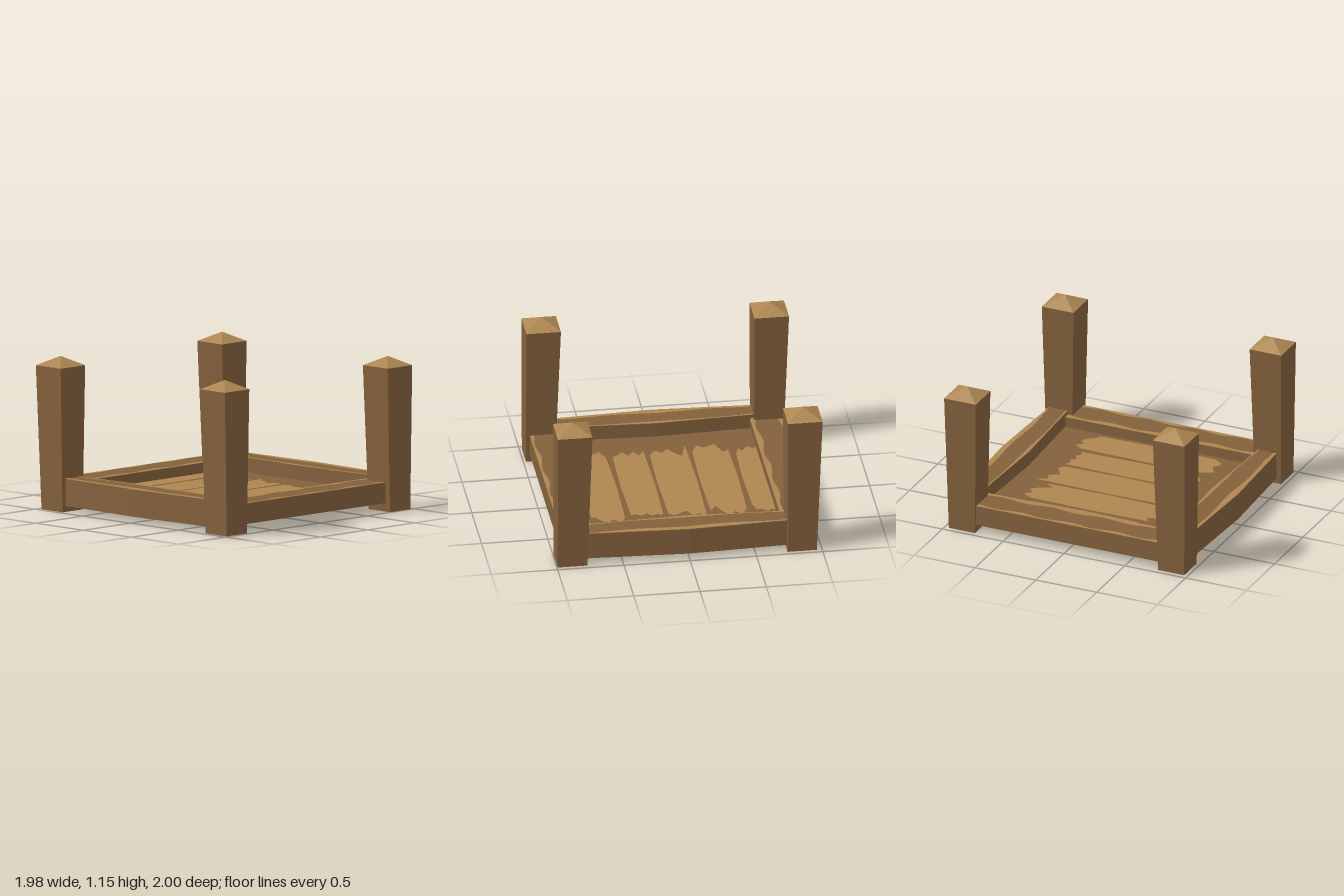
import * as THREE from 'three';

const brown = new THREE.MeshStandardMaterial({ color: 0x83603c });
brown.name = 'brown wood';
const tan = new THREE.MeshStandardMaterial({ color: 0xad8650 });
tan.name = 'worn tan wood';

// Slab with an outline in x and z, reaching down from its top height
function slab(name, outline, top, depth, material) {
  const shape = new THREE.Shape(outline.map(([x, z]) => new THREE.Vector2(x, z)));
  const geometry = new THREE.ExtrudeGeometry(shape, { depth, bevelEnabled: false });
  geometry.rotateX(Math.PI / 2).translate(0, top, 0);
  const mesh = new THREE.Mesh(geometry, material);
  mesh.name = name;
  return mesh;
}

// Band between two edge functions of t, sampled along a length
function band(from, to, steps, edgeA, edgeB, alongX) {
  const a = [], b = [];
  for (let i = 0; i <= steps; i++) {
    const t = from + (to - from) * i / steps;
    a.push([t, edgeA(t)]);
    b.unshift([t, edgeB(t)]);
  }
  return [...a, ...b].map(([t, e]) => (alongX ? [t, e] : [e, t]));
}

// Tapered post, wider at the top, with a pyramid cap
function post(name, bottom, top) {
  const group = new THREE.Group();
  group.name = name;
  const height = 1.085;
  const geometry = new THREE.BoxGeometry(1, 1, 1);
  const p = geometry.attributes.position;
  for (let i = 0; i < p.count; i++) {
    const high = p.getY(i) > 0;
    const [x0, x1, z0, z1] = high ? top : bottom;
    p.setXYZ(i, p.getX(i) < 0 ? x0 : x1, high ? height : 0, p.getZ(i) < 0 ? z0 : z1);
  }
  geometry.computeVertexNormals();
  const shaft = new THREE.Mesh(geometry, [brown, brown, brown, tan, brown, brown]);
  shaft.name = 'postShaft';

  const [x0, x1, z0, z1] = top;
  const cone = new THREE.ConeGeometry(Math.SQRT1_2, 0.07, 4, 1, true).rotateY(Math.PI / 4).toNonIndexed();
  cone.scale(x1 - x0, 1, z1 - z0);
  cone.translate((x0 + x1) / 2, height + 0.035, (z0 + z1) / 2);
  cone.computeVertexNormals();
  const cap = new THREE.Mesh(cone, tan);
  cap.name = 'postCap';
  group.add(shaft, cap);
  return group;
}

export function createModel() {
  const model = new THREE.Group();
  model.name = 'postedPlatform';

  // Corner posts: bottom and top rectangles as x0, x1, z0, z1
  model.add(
    post('frontRightPost', [-0.97, -0.755, 0.76, 0.98], [-0.99, -0.73, 0.72, 0.98]),
    post('frontLeftPost', [0.75, 0.965, 0.77, 0.995], [0.725, 0.985, 0.735, 0.995]),
    post('backRightPost', [-0.97, -0.755, -0.96, -0.74], [-0.99, -0.73, -1, -0.74]),
    post('backLeftPost', [0.75, 0.965, -0.96, -0.74], [0.725, 0.985, -1, -0.74]),
  );

  // Floor panel
  model.add(slab('floorPanel', [[-0.78, -0.72], [0.78, -0.72], [0.78, 0.72], [-0.78, 0.72]], 0.14, 0.085, brown));

  // Worn plank faces: z range, then ragged right and left end positions
  const planks = [
    [-0.71, -0.55, [-0.48, -0.45, -0.49, -0.47, -0.43, -0.47, -0.38], [0.55, 0.52, 0.56, 0.54, 0.51, 0.53, 0.45]],
    [-0.5, -0.23, [-0.46, -0.43, -0.56, -0.54, -0.52, -0.56, -0.46], [0.5, 0.58, 0.53, 0.57, 0.52, 0.42, 0.5]],
    [-0.19, 0.09, [-0.57, -0.41, -0.46, -0.53, -0.48, -0.52, -0.46], [0.6, 0.52, 0.55, 0.47, 0.5, 0.53, 0.5]],
    [0.13, 0.37, [-0.53, -0.46, -0.53, -0.47, -0.53, -0.49, -0.46], [0.51, 0.49, 0.51, 0.47, 0.5, 0.47, 0.49]],
    [0.42, 0.67, [-0.46, -0.56, -0.53, -0.51, -0.55, -0.54, -0.47], [0.52, 0.58, 0.53, 0.57, 0.55, 0.49, 0.47]],
  ];
  for (const [z0, z1, right, left] of planks) {
    const at = (x, i) => [x, z0 + (z1 - z0) * i / 6];
    const outline = [...right.map(at), [0, z1 + 0.01], ...left.map(at).reverse(), [0, z0 - 0.01]];
    model.add(slab('wornPlankTop', outline, 0.143, 0.004, tan));
    model.add(slab('wornPlankUnderside', outline, 0.056, 0.004, tan));
  }

  // Side rails, bulging at the middle, with worn top edges
  for (const s of [-1, 1]) {
    const name = s < 0 ? 'rightRail' : 'leftRail';
    const bulge = (z) => 0.034 * (1 - Math.abs(z) / 0.76);
    const outer = (z) => s * (0.936 + bulge(z));
    const inner = (z) => s * (0.785 - bulge(z));
    const outerWear = (z) => s * (0.918 + 0.008 * Math.sin(9 * z + s));
    const innerWear = (z) => s * (0.797 - 0.7 * bulge(z) + 0.007 * Math.cos(7 * z));
    model.add(slab(name, band(-0.78, 0.78, 8, outer, inner), 0.25, 0.205, brown));
    model.add(slab(name + 'OuterWear', band(-0.75, 0.75, 24, outer, outerWear), 0.253, 0.004, tan));
    model.add(slab(name + 'InnerWear', band(-0.75, 0.75, 24, inner, innerWear), 0.253, 0.004, tan));
  }

  // Front and back rails with worn top edges
  for (const s of [-1, 1]) {
    const name = s < 0 ? 'backRail' : 'frontRail';
    const outer = () => s * 0.952;
    const inner = () => s * 0.712;
    const outerWear = (x) => s * (0.927 - 0.012 * Math.cos(16 * x));
    const innerWear = (x) => s * (0.748 + 0.012 * Math.cos(15 * x));
    model.add(slab(name, band(-0.78, 0.78, 1, outer, inner, true), 0.22, 0.155, brown));
    model.add(slab(name + 'OuterWear', band(-0.74, 0.74, 30, outer, outerWear, true), 0.223, 0.004, tan));
    model.add(slab(name + 'InnerWear', band(-0.78, 0.78, 30, inner, innerWear, true), 0.223, 0.004, tan));
  }
  return model;
}
